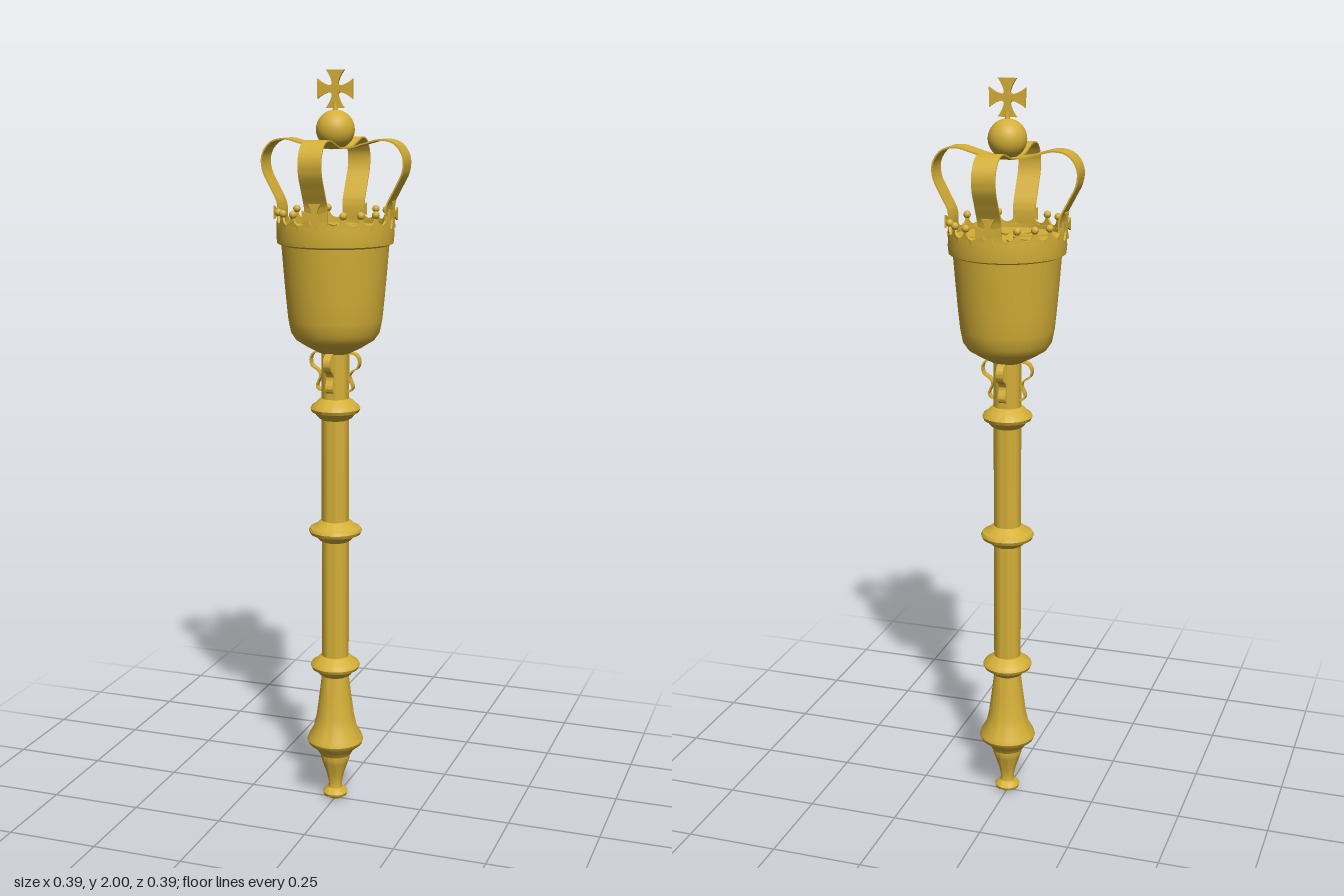
import * as THREE from 'three';
import { toCreasedNormals } from 'three/addons/utils/BufferGeometryUtils.js';

const V = (p) => new THREE.Vector2(p[0], p[1]);

export function createModel() {
  const gold = new THREE.MeshStandardMaterial({ color: 0xd4af37 });
  const model = new THREE.Group();
  model.name = 'ceremonialMace';

  const add = (name, geometry, parent = model) => {
    const mesh = new THREE.Mesh(geometry, gold);
    mesh.name = name;
    parent.add(mesh);
    return mesh;
  };
  // Turned part from [radius, height] pairs, bottom to top
  const lathe = (name, profile) =>
    add(name, toCreasedNormals(new THREE.LatheGeometry(profile.map(V), 48), 0.6));
  // Flat plate of the given thickness, centred on z = 0
  const plate = (shape, depth) => {
    const g = new THREE.ExtrudeGeometry(shape, { depth, bevelEnabled: false, curveSegments: 8 });
    return toCreasedNormals(g.translate(0, 0, -depth / 2), 0.6);
  };
  // Bent metal strip following a [radius, height] path
  const strip = (path, width, thick, steps) => {
    const curve = new THREE.SplineCurve(path.map(V));
    const outer = [], inner = [];
    for (let i = 0; i <= steps; i++) {
      const p = curve.getPointAt(i / steps), t = curve.getTangentAt(i / steps);
      outer.push(new THREE.Vector2(p.x + t.y * thick / 2, p.y - t.x * thick / 2));
      inner.unshift(new THREE.Vector2(p.x - t.y * thick / 2, p.y + t.x * thick / 2));
    }
    return plate(new THREE.Shape([...outer, ...inner]), width);
  };
  // Cross with four flared arms
  const crossShape = (half, flare, waist) => {
    const s = new THREE.Shape();
    for (let i = 0; i < 4; i++) {
      const at = (x, y) => V([x, y]).rotateAround(new THREE.Vector2(), i * Math.PI / 2);
      const a = at(half, -flare), b = at(half, flare), c = at(waist, waist);
      const k1 = at(half * 0.55, waist), k0 = at(half * 0.55, -waist), w = at(waist, -waist);
      if (i === 0) s.moveTo(w.x, w.y);
      s.quadraticCurveTo(k0.x, k0.y, a.x, a.y);
      s.lineTo(b.x, b.y);
      s.quadraticCurveTo(k1.x, k1.y, c.x, c.y);
    }
    return s;
  };

  // Foot and grip
  lathe('foot', [[0, 0], [0.018, 0.003], [0.032, 0.012], [0.035, 0.02], [0.03, 0.027],
    [0.02, 0.034], [0.018, 0.045], [0.024, 0.075], [0.036, 0.11], [0.04, 0.122], [0.04, 0.135], [0.03, 0.135]]);
  lathe('grip', [[0.03, 0.133], [0.044, 0.135], [0.052, 0.15], [0.074, 0.168], [0.078, 0.178],
    [0.074, 0.19], [0.06, 0.215], [0.052, 0.25], [0.044, 0.31], [0.038, 0.36], [0.036, 0.375]]);

  // Shaft and its collars
  lathe('shaft', [[0.037, 0.36], [0.037, 1.29]]);
  [[0.397, 0.068], [0.783, 0.072], [1.12, 0.067]].forEach(([y, r]) =>
    lathe('shaftCollar', [[0.037, y - 0.03], [0.044, y - 0.026], [0.054, y - 0.014], [r - 0.004, y - 0.009],
      [r, y], [r - 0.004, y + 0.008], [0.054, y + 0.014], [0.044, y + 0.024], [0.037, y + 0.028]]));

  // Bowl with raised band and closed lid
  lathe('bowl', [[0.035, 1.268], [0.045, 1.272], [0.075, 1.288], [0.104, 1.306], [0.117, 1.325],
    [0.124, 1.36], [0.13, 1.42], [0.136, 1.49], [0.141, 1.555], [0.152, 1.56], [0.154, 1.58],
    [0.153, 1.61], [0.144, 1.61], [0.144, 1.6], [0, 1.6]]);

  // Leaf rosette on the lid
  const leaf = new THREE.Shape();
  leaf.moveTo(0.02, 0);
  leaf.quadraticCurveTo(0.058, -0.022, 0.102, 0);
  leaf.quadraticCurveTo(0.058, 0.022, 0.02, 0);
  const leafGeometry = plate(leaf, 0.004).rotateX(-Math.PI / 2);
  for (let q = 0; q < 4; q++) {
    for (const a of [0.464, 1.107]) {
      const m = add('lidLeaf', leafGeometry);
      m.position.y = 1.602;
      m.rotation.y = q * Math.PI / 2 + a;
    }
  }

  // Cresting: curved points tipped with beads
  const tooth = new THREE.Shape();
  tooth.moveTo(-0.024, 0);
  tooth.lineTo(0.024, 0);
  tooth.lineTo(0.024, 0.014);
  tooth.quadraticCurveTo(0.006, 0.016, 0.004, 0.034);
  tooth.lineTo(-0.004, 0.034);
  tooth.quadraticCurveTo(-0.006, 0.016, -0.024, 0.014);
  const toothGeometry = plate(tooth, 0.006);
  const beadGeometry = new THREE.SphereGeometry(0.01, 14, 10);
  for (let i = 0; i < 20; i++) {
    const pivot = new THREE.Group();
    pivot.name = 'crestPoint';
    pivot.rotation.y = (i + 0.5) * Math.PI / 10;
    model.add(pivot);
    add('crestTooth', toothGeometry, pivot).position.set(0, 1.6, 0.149);
    // points behind the arches carry no bead
    if (i % 5 !== 0 && i % 5 !== 4) add('crestBead', beadGeometry, pivot).position.set(0, 1.64, 0.149);
  }

  // Four sides: arch, rim cross and scroll bracket
  const archGeometry = strip([[0.147, 1.6], [0.147, 1.655], [0.168, 1.7], [0.19, 1.745], [0.191, 1.785],
    [0.168, 1.817], [0.13, 1.826], [0.09, 1.817], [0.05, 1.806], [0, 1.803]], 0.062, 0.004, 48);
  const bracketGeometry = strip([[0.036, 1.272], [0.058, 1.268], [0.068, 1.252], [0.064, 1.233], [0.048, 1.222],
    [0.04, 1.208], [0.046, 1.192], [0.05, 1.18], [0.045, 1.17], [0.036, 1.168]], 0.02, 0.004, 40);
  const rimCrossGeometry = plate(crossShape(0.034, 0.017, 0.007), 0.005);
  for (let i = 0; i < 4; i++) {
    const side = new THREE.Group();
    side.name = 'crownSide';
    side.rotation.y = i * Math.PI / 2;
    model.add(side);
    add('arch', archGeometry, side);
    add('scrollBracket', bracketGeometry, side);
    const cross = add('rimCross', rimCrossGeometry, side);
    cross.position.set(0.157, 1.637, 0);
    cross.rotation.y = Math.PI / 2;
  }

  // Orb and top cross
  add('orb', new THREE.SphereGeometry(0.05, 40, 28)).position.y = 1.85;
  add('crossStem', new THREE.CylinderGeometry(0.005, 0.008, 0.03, 12)).position.y = 1.905;
  add('topCross', plate(crossShape(0.048, 0.025, 0.008), 0.008)).position.y = 1.952;
  const boss = add('crossBoss', new THREE.CylinderGeometry(0.015, 0.015, 0.011, 24));
  boss.rotation.x = Math.PI / 2;
  boss.position.y = 1.952;

  return model;
}
